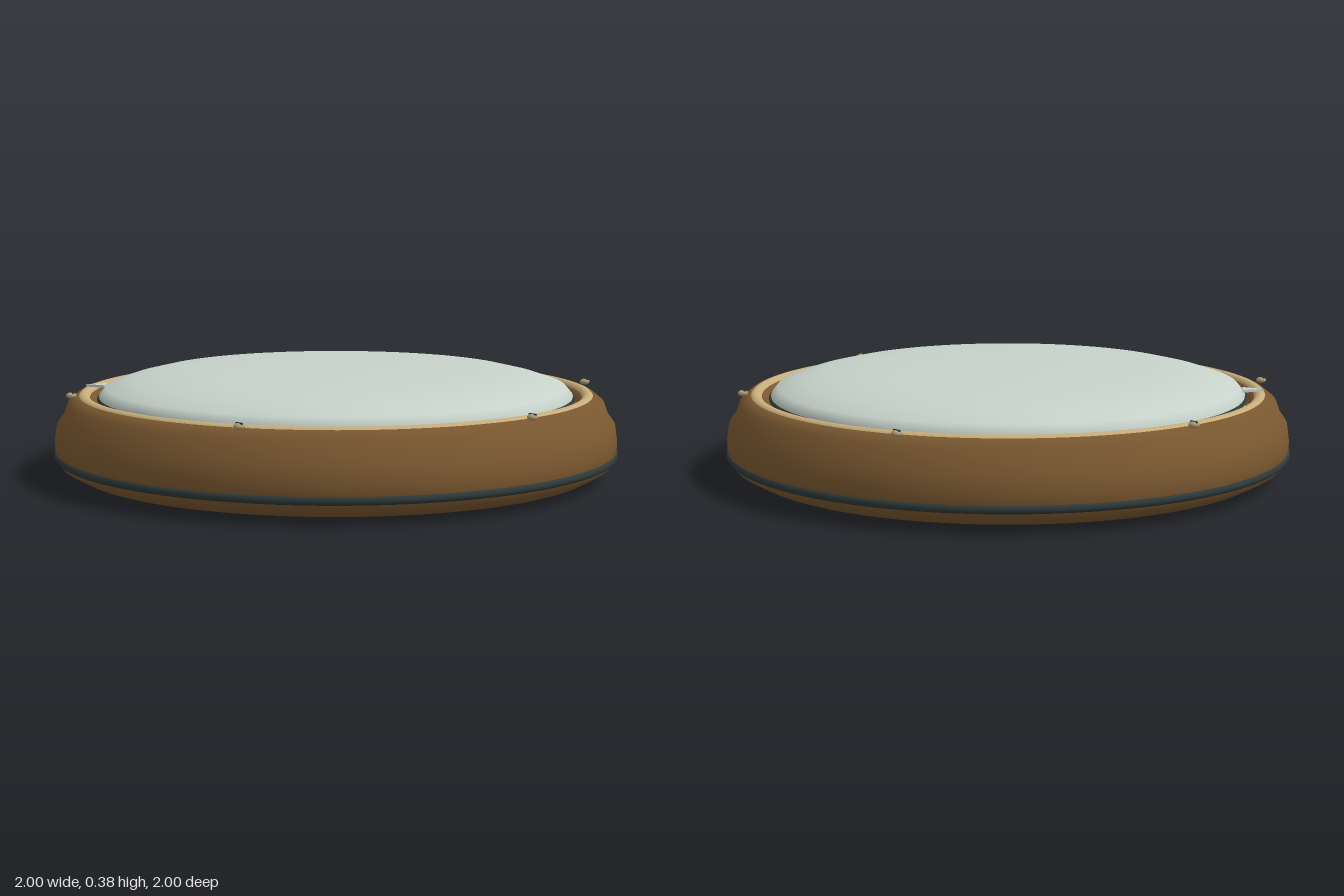
import * as THREE from 'three';

const material = (name, color) => {
  const m = new THREE.MeshStandardMaterial({ color });
  m.name = name;
  return m;
};

export function createModel() {
  const group = new THREE.Group();
  const brown = material('brown case', 0x7a5830);
  const cream = material('cream trim', 0xc9ae7b);
  const dark = material('dark band', 0x2f3a3a);
  const glass = material('pale glass', 0xc6d2ca);
  const metal = material('screw metal', 0xad9a74);

  const add = (name, geometry, mat, parent = group) => {
    const mesh = new THREE.Mesh(geometry, mat);
    mesh.name = name;
    parent.add(mesh);
    return mesh;
  };
  const lathe = (points) =>
    new THREE.LatheGeometry(points.map(([r, y]) => new THREE.Vector2(r, y)), 96);
  const ring = (radius, tube, y) =>
    new THREE.TorusGeometry(radius, tube, 12, 96).rotateX(Math.PI / 2).translate(0, y, 0);

  // Round case, closed underneath, with an inner lip sloping down to the glass
  add('case', lathe([
    [0, 0], [0.78, 0.006], [0.92, 0.02], [0.975, 0.05], [0.993, 0.085],
    [0.995, 0.13], [0.987, 0.185], [0.962, 0.22], [0.948, 0.26], [0.915, 0.287],
    [0.875, 0.284], [0.855, 0.268], [0.835, 0.235], [0, 0.23],
  ]), brown);

  // Band around the foot and raised trim around the glass
  add('footBand', ring(0.984, 0.016, 0.084), dark);
  add('trimRing', ring(0.891, 0.023, 0.272), cream);
  add('glassSeal', ring(0.839, 0.007, 0.272), dark);

  // Shallow domed glass
  add('glassDome', lathe([
    [0.838, 0.25], [0.838, 0.285], [0.815, 0.312], [0.74, 0.337],
    [0.65, 0.358], [0.5, 0.368], [0.33, 0.376], [0.15, 0.379], [0, 0.38],
  ]), glass);

  // Six slotted screws around the shoulder
  for (let i = 0; i < 6; i++) {
    const a = (i * Math.PI) / 3;
    const screw = new THREE.Group();
    screw.name = 'screw';
    screw.position.set(0.935 * Math.cos(a), 0.295, 0.935 * Math.sin(a));
    add('screwHead', new THREE.SphereGeometry(0.018, 16, 10).scale(1, 0.62, 1), metal, screw);
    add('screwSlot', new THREE.BoxGeometry(0.03, 0.005, 0.006), dark, screw).position.y = 0.0095;
    group.add(screw);
  }

  // Small flat pointer aimed outwards across the trim
  const tip = new THREE.Shape([
    new THREE.Vector2(0, 0.042), new THREE.Vector2(-0.033, -0.032), new THREE.Vector2(0.033, -0.032),
  ]);
  const pointer = add('pointer',
    new THREE.ExtrudeGeometry(tip, { depth: 0.009, bevelEnabled: false }).rotateX(-Math.PI / 2), glass);
  pointer.position.set(-0.611, 0.294, 0.607);
  pointer.rotation.y = Math.PI * 0.75;

  return group;
}
